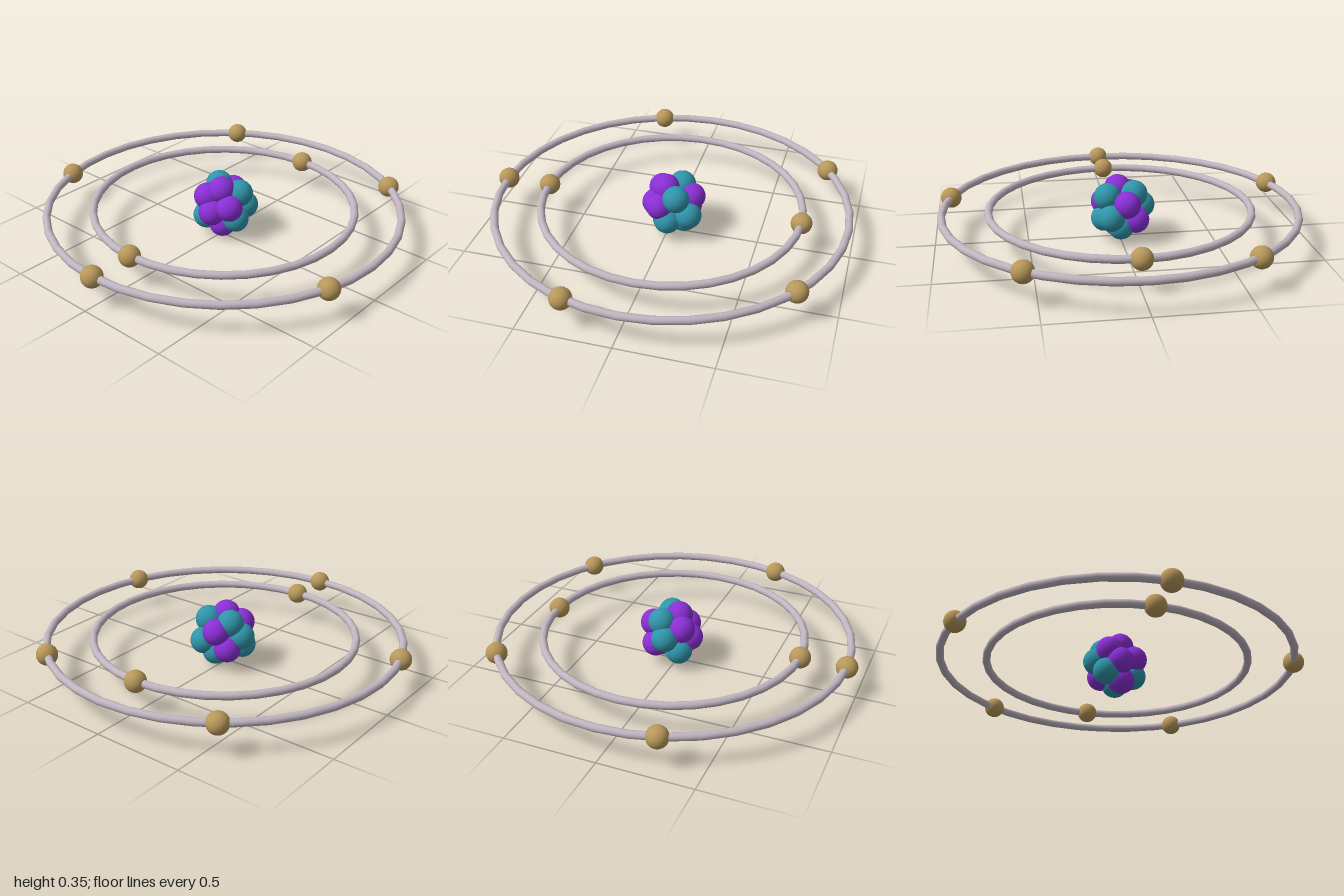
import * as THREE from 'three';

const CENTER_Y = 0.175;
const CENTER_Z = -0.018;
const material = (color) => new THREE.MeshStandardMaterial({ color });

export function createModel() {
  const model = new THREE.Group();
  model.name = 'atom';
  const purple = material(0x8a2fd6);
  const teal = material(0x2f95aa);
  const gold = material(0xb8985a);
  const silver = material(0xbfb4bf);

  // Nucleus: a tight cluster of two kinds of balls
  const nucleus = new THREE.Group();
  nucleus.name = 'nucleus';
  const nucleonGeometry = new THREE.SphereGeometry(0.073, 32, 20);
  const addNucleons = (name, mat, positions) => positions.forEach((p, i) => {
    const ball = new THREE.Mesh(nucleonGeometry, mat);
    ball.name = name + (i + 1);
    ball.position.set(...p);
    nucleus.add(ball);
  });
  addNucleons('proton', purple, [
    [0.01, 0.28, 0.01], [-0.06, 0.235, 0.05], [0.08, 0.2, 0.03], [-0.005, 0.165, 0.075],
    [0.015, 0.078, 0.01], [-0.025, 0.225, -0.125], [-0.075, 0.13, -0.095],
  ]);
  addNucleons('neutron', teal, [
    [-0.07, 0.265, -0.06], [0.075, 0.255, -0.06], [-0.115, 0.19, -0.025], [-0.075, 0.11, 0.04],
    [0.085, 0.12, -0.015], [0.06, 0.155, -0.125], [0.005, 0.095, -0.09],
  ]);
  model.add(nucleus);

  // Flat orbit rings, each with evenly spaced electrons starting at the front
  const electronGeometry = new THREE.SphereGeometry(0.057, 32, 20);
  const addShell = (name, radius, count) => {
    const shell = new THREE.Group();
    shell.name = name;
    shell.position.set(0, CENTER_Y, CENTER_Z);
    const ring = new THREE.Mesh(new THREE.TorusGeometry(radius, 0.021, 16, 36), silver);
    ring.name = 'orbitRing';
    ring.rotation.x = Math.PI / 2;
    shell.add(ring);
    for (let i = 0; i < count; i++) {
      const a = (i / count) * Math.PI * 2;
      const electron = new THREE.Mesh(electronGeometry, gold);
      electron.name = 'electron' + (i + 1);
      electron.position.set(Math.sin(a) * radius, 0, Math.cos(a) * radius);
      shell.add(electron);
    }
    model.add(shell);
  };
  addShell('innerShell', 0.711, 2);
  addShell('outerShell', 0.959, 5);

  return model;
}
